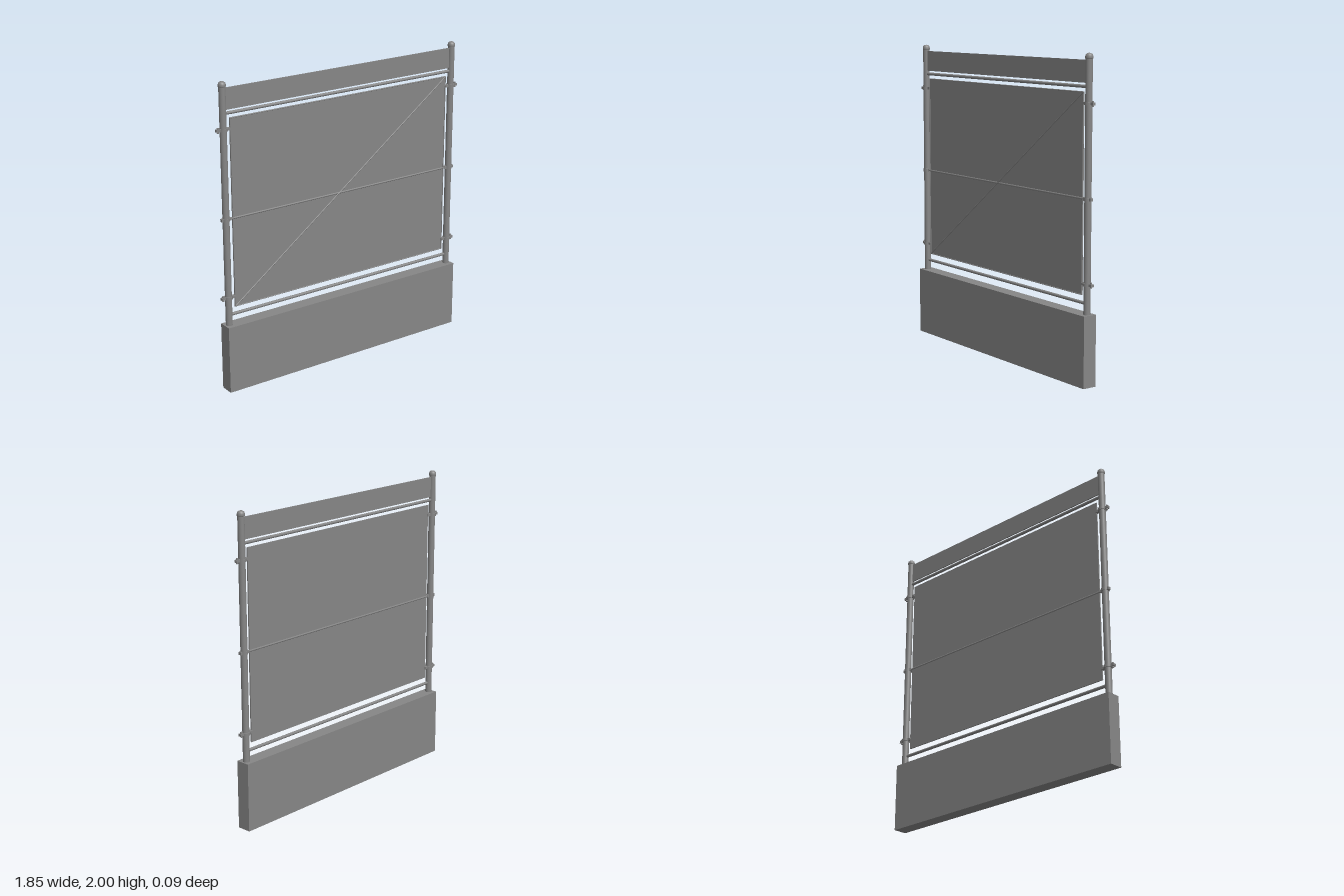
import * as THREE from 'three';

const material = new THREE.MeshStandardMaterial({ color: 0x868686 });
const POST = 0.873; // post distance from the middle

function add(parent, name, geometry, x, y, z) {
  const mesh = new THREE.Mesh(geometry, material);
  mesh.name = name;
  mesh.position.set(x, y, z);
  parent.add(mesh);
  return mesh;
}

// Round bar between two points
function bar(parent, name, a, b, radius, sides = 12) {
  const from = new THREE.Vector3(...a), to = new THREE.Vector3(...b);
  const dir = to.clone().sub(from);
  const mesh = add(parent, name, new THREE.CylinderGeometry(radius, radius, dir.length(), sides),
    ...from.add(to).multiplyScalar(0.5).toArray());
  mesh.quaternion.setFromUnitVectors(new THREE.Vector3(0, 1, 0), dir.normalize());
}

// Collar around a post
function collar(parent, y, height, radius) {
  add(parent, 'collar', new THREE.CylinderGeometry(radius, radius, height, 16), 0, y, 0);
}

function createPost(side) {
  const post = new THREE.Group();
  post.name = side > 0 ? 'leftPost' : 'rightPost';
  post.position.x = side * POST;
  bar(post, 'postTube', [0, 0.4, 0], [0, 1.98, 0], 0.0215, 20);

  // Rounded cap
  const cap = [[0.0215, 1.965], [0.024, 1.968], [0.024, 1.98], [0.021, 1.99], [0.013, 1.997], [0, 2]];
  add(post, 'postCap', new THREE.LatheGeometry(cap.map(p => new THREE.Vector2(...p)), 20), 0, 0, 0);

  // Panel clamps with an upright bolt on the outer ear
  for (const y of [0.627, 1.705]) {
    const clamp = new THREE.Group();
    clamp.name = 'panelClamp';
    post.add(clamp);
    collar(clamp, y, 0.018, 0.027);
    add(clamp, 'clampEars', new THREE.BoxGeometry(0.1, 0.016, 0.02), 0, y, 0);
    bar(clamp, 'clampBolt', [side * 0.037, y - 0.017, 0], [side * 0.037, y + 0.017, 0], 0.007, 6);
  }

  // Bracket carrying the middle rail
  collar(post, 1.14, 0.02, 0.025);
  add(post, 'railBracket', new THREE.BoxGeometry(0.068, 0.018, 0.02), 0, 1.14, 0);
  return post;
}

export function createModel() {
  const model = new THREE.Group();
  model.name = 'fencePanel';

  add(model, 'base', new THREE.BoxGeometry(1.81, 0.444, 0.092), 0, 0.222, 0.001);
  for (const side of [-1, 1]) model.add(createPost(side));

  // Rails between the posts
  const rails = [['bottomRail', 0.511, 0.01], ['middleRail', 1.14, 0.007], ['topRail', 1.803, 0.01]];
  for (const [name, y, r] of rails) bar(model, name, [-POST, y, 0], [POST, y, 0], r);

  // Header board and main panel
  add(model, 'headerBoard', new THREE.BoxGeometry(1.715, 0.134, 0.008), 0, 1.891, 0);
  const w = 0.829, low = 0.556, high = 1.773;
  add(model, 'panel', new THREE.BoxGeometry(2 * w, high - low, 0.006), 0, (low + high) / 2, 0);

  // Thin rim and diagonal brace on the front face
  const x = w - 0.003, b = low + 0.003, t = high - 0.003, z = 0.004;
  const corners = [[-x, b, z], [x, b, z], [x, t, z], [-x, t, z]];
  corners.forEach((c, i) => bar(model, 'panelRim', c, corners[(i + 1) % 4], 0.003, 8));
  bar(model, 'diagonalBrace', corners[0], corners[2], 0.004, 8);
  return model;
}
